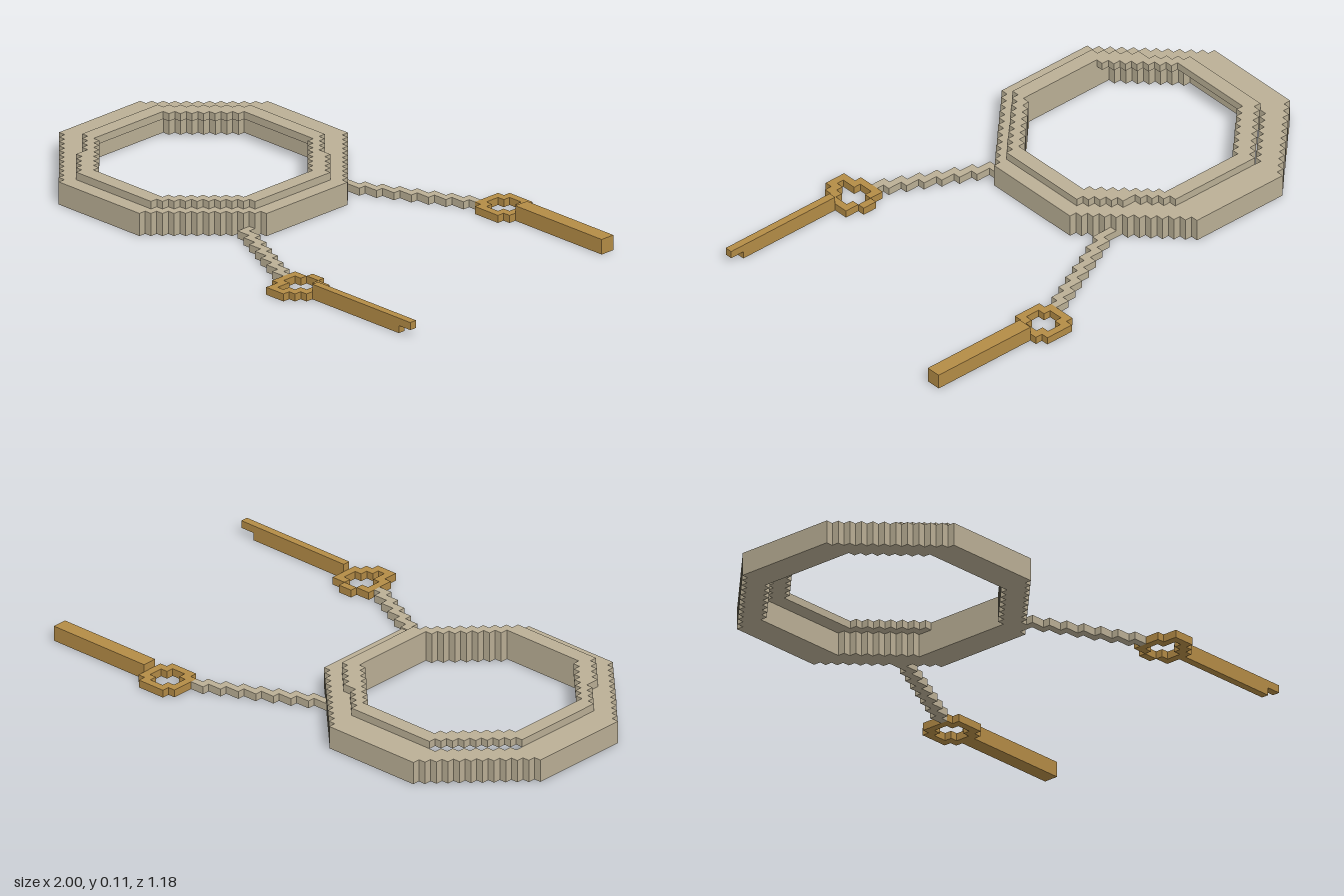
import * as THREE from 'three';
import { mergeGeometries } from 'three/addons/utils/BufferGeometryUtils.js';

// Everything lies on a grid of cubes: i counts along x, k along z, j up
const U = 2 / 71;
const X = (i) => -1 + i * U;
const Z = (k) => (k - 21) * U;

// Block of cells, from a corner and a size
function block(i, j, k, ni, nj, nk) {
  return new THREE.BoxGeometry(ni * U, nj * U, nk * U)
    .translate(X(i + ni / 2), (j + nj / 2) * U, Z(k + nk / 2));
}

// Stepped octagon outline; low and high are the corner cuts on each side
function octagon(i0, k0, size, low, high) {
  const points = [];
  const corner = (right, far, reverse) => {
    const cx = right ? high : low;
    const cz = far ? high : low;
    const list = [];
    const add = (a, b) => list.push(new THREE.Vector2(
      X(right ? i0 + size - a : i0 + a), Z(far ? k0 + size - b : k0 + b)));
    add(cx, 0);
    for (let s = 1; s <= cz; s++) {
      add(cx - Math.round(((s - 1) * cx) / cz), s);
      add(cx - Math.round((s * cx) / cz), s);
    }
    points.push(...(reverse ? list.reverse() : list));
  };
  corner(false, false, true);
  corner(true, false, false);
  corner(true, true, true);
  corner(false, true, false);
  return points;
}

function steppedRing(outer, inner, j, nj) {
  const shape = new THREE.Shape(outer);
  shape.holes.push(new THREE.Path(inner));
  return new THREE.ExtrudeGeometry(shape, { depth: nj * U, bevelEnabled: false })
    .rotateX(Math.PI / 2).translate(0, (j + nj) * U, 0);
}

// Thin strand of cells, with neighbouring rows sharing a column
function strand(i0, k0, i1, k1) {
  const parts = [];
  let last = k0;
  for (let i = i0; i <= i1; i++) {
    const k = Math.round(k0 + ((k1 - k0) * (i - i0)) / (i1 - i0));
    parts.push(block(i, 0, Math.min(k, last), 1, 1, Math.abs(k - last) + 1));
    last = k;
  }
  return mergeGeometries(parts);
}

// Flat loop drawn as rows of cells
function loop(i0, k0, rows) {
  const parts = [];
  rows.forEach((row, r) => {
    for (const run of row.matchAll(/X+/g)) {
      parts.push(block(i0 + run.index, 0, k0 + r, run[0].length, 1, 1));
    }
  });
  return mergeGeometries(parts);
}

export function createModel() {
  const model = new THREE.Group();
  const stone = new THREE.MeshStandardMaterial({ color: 0xbbb096 });
  stone.name = 'pale stone';
  const gold = new THREE.MeshStandardMaterial({ color: 0xb48c46 });
  gold.name = 'dull gold';
  const add = (name, geometry, material) => {
    const mesh = new THREE.Mesh(geometry, material);
    mesh.name = name;
    model.add(mesh);
  };

  // Octagonal ring with a narrower rim on top, set off towards the inside
  add('baseRing', steppedRing(octagon(0, 4, 36, 11, 11), octagon(4, 8, 28, 7, 7), 0, 3), stone);
  add('topRim', steppedRing(octagon(4, 8, 30, 8, 9), octagon(6, 10, 26, 7, 7), 3, 1), stone);

  // Strands from the ring to the loops
  add('backStrand', strand(32, 11, 47, 4), stone);
  add('frontStrand', strand(33, 30, 47, 37), stone);

  // Loops
  add('backLoop', loop(48, 0, ['.XXXX.', 'XX..XX', 'X....X', 'X....X', 'XX..XX', '.XXXX.']), gold);
  add('frontLoop', loop(48, 35, ['..XX..', 'XX..XX', 'X....X', 'X....X', 'XX..XX', '.X.XX.', '.XXX..']), gold);

  // Bars; the front one has a notch under its tip
  add('backBar', block(54, 0, 2, 15, 2, 2), gold);
  add('frontBar', mergeGeometries([block(54, 0, 38, 15, 1, 1), block(54, 1, 38, 17, 1, 1)]), gold);

  return model;
}
